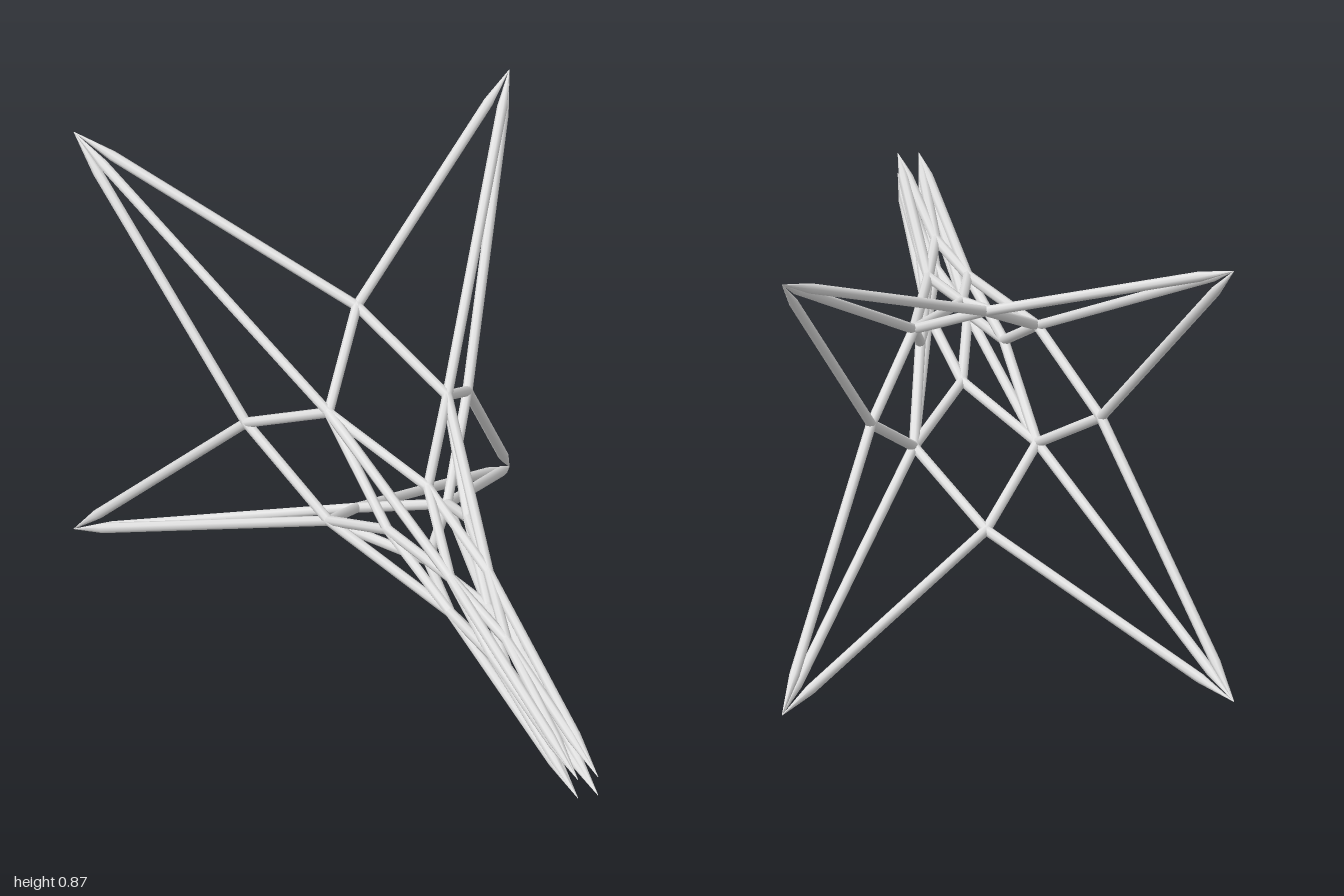
import * as THREE from 'three';
import { mergeGeometries } from 'three/addons/utils/BufferGeometryUtils.js';

const CENTRE_Y = 0.437;
const BAR = 0.01;
const SIDES = 8;

// Four nodes of a ring: on the diagonals (x = y = r) or on the axes (distance r)
function ring(r, z, diagonal) {
  const nodes = [];
  for (let i = 0; i < 4; i++) {
    const a = i * Math.PI / 2 + (diagonal ? Math.PI / 4 : 0);
    const d = diagonal ? r * Math.SQRT2 : r;
    nodes.push(new THREE.Vector3(Math.cos(a) * d, Math.sin(a) * d, z));
  }
  return nodes;
}

// Faceted bar from a to b; its start can be sharpened to a point over a given length
function bar(a, b, point = 0) {
  const len = a.distanceTo(b);
  const profile = point
    ? [[0.0005, 0], [BAR, point], [BAR, len]]
    : [[BAR, 0], [BAR, len]];
  const g = new THREE.LatheGeometry(profile.map(([r, y]) => new THREE.Vector2(r, y)), SIDES);
  const dir = b.clone().sub(a).normalize();
  g.applyQuaternion(new THREE.Quaternion().setFromUnitVectors(new THREE.Vector3(0, 1, 0), dir));
  g.translate(a.x, a.y, a.z);
  return g;
}

function joint(p) {
  return new THREE.SphereGeometry(BAR, SIDES, 6).translate(p.x, p.y, p.z);
}

export function createModel() {
  const model = new THREE.Group();
  model.name = 'starLattice';
  const steel = new THREE.MeshStandardMaterial({ color: 0xe2e2e2 });
  steel.name = 'pale grey';

  // Diagonal and axial rings alternate from the wide back to the narrow front
  const diagonals = [
    ring(0.433, -1, true), ring(0.118, -0.35, true),
    ring(0.038, 0.2, true), ring(0.02, 1, true),
  ];
  const axials = [ring(0.22, -0.56, false), ring(0.08, -0.08, false), ring(0.029, 0.45, false)];

  const add = (name, parts) => {
    const mesh = new THREE.Mesh(mergeGeometries(parts), steel);
    mesh.name = name;
    mesh.position.y = CENTRE_Y;
    model.add(mesh);
  };

  const names = ['backStar', 'middleCage', 'frontSpikes'];
  axials.forEach((axial, k) => {
    const back = diagonals[k], front = diagonals[k + 1];
    const backPoint = k === 0 ? 0.09 : 0;
    const frontPoint = k === 2 ? 0.16 : 0;
    const ribs = [], braces = [], joints = [];
    for (let i = 0; i < 4; i++) {
      // Long rib along each diagonal
      ribs.push(frontPoint ? bar(front[i], back[i], frontPoint) : bar(back[i], front[i], backPoint));
      // Braces to the two neighbouring axial nodes
      for (const node of [axial[i], axial[(i + 1) % 4]]) {
        braces.push(bar(back[i], node, backPoint), bar(front[i], node, frontPoint));
      }
      joints.push(joint(axial[i]));
      if (!frontPoint) joints.push(joint(front[i]));
    }
    add(names[k] + 'Ribs', ribs);
    add(names[k] + 'Braces', braces);
    add(names[k] + 'Joints', joints);
  });

  return model;
}
